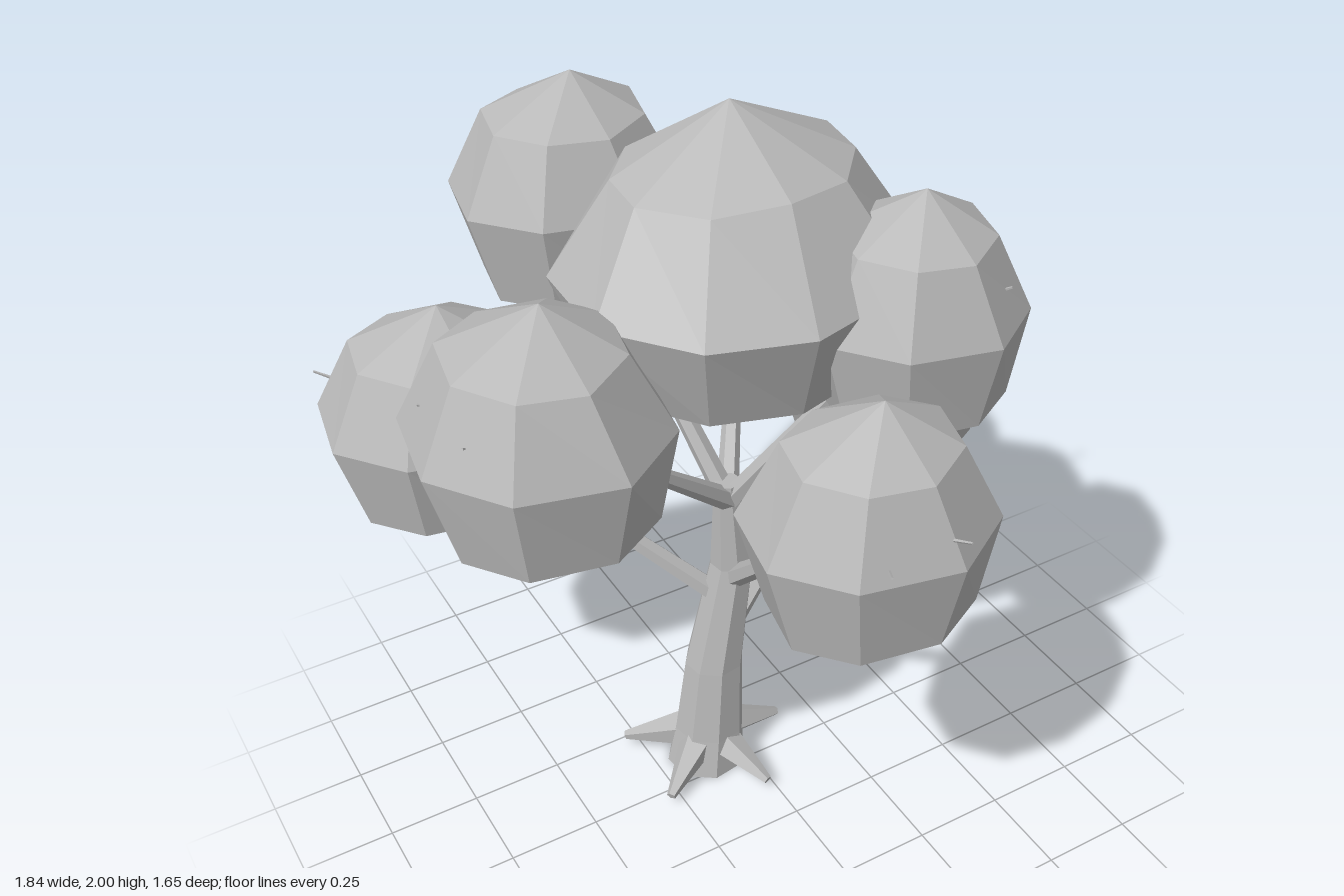
import * as THREE from 'three';

const grey = new THREE.MeshStandardMaterial({ color: 0xb8b8b8, flatShading: true });
grey.name = 'matte grey';

const V = (a) => new THREE.Vector3(...a);

// Repeatable noise in -1..1
function noise(i) {
  const s = Math.sin(i * 12.9898 + 78.233) * 43758.5453;
  return (s - Math.floor(s)) * 2 - 1;
}

// Tapered stick between two points
function stick(name, from, to, r0, r1, sides = 6) {
  const dir = to.clone().sub(from);
  const geo = new THREE.CylinderGeometry(r1, r0, dir.length(), sides);
  geo.translate(0, dir.length() / 2, 0);
  const mesh = new THREE.Mesh(geo, grey);
  mesh.name = name;
  mesh.position.copy(from);
  mesh.quaternion.setFromUnitVectors(new THREE.Vector3(0, 1, 0), dir.normalize());
  return mesh;
}

// Foliage rows from top to bottom: [radius, height, x offset, z offset]
const LEAF_ROWS = [[0, 1, 0.08, 0], [0.69, 0.68, 0, 0], [1.02, 0.09, 0, 0], [0.83, -0.62, 0, 0.05], [0, -1, 0.06, 0]];
const CROWN_ROWS = [[0, 1, 0, -0.1], [0.65, 0.62, 0, -0.03], [1.02, 0, 0, 0], [0.82, -0.66, 0, 0], [0, -1, 0, 0]];

// Faceted clump: a coarse sphere with its rows moved and corners slightly shifted
function clump(name, centre, radii, sides, turn, rows) {
  const geo = new THREE.SphereGeometry(1, sides, 4);
  const p = geo.attributes.position;
  for (let i = 0; i < p.count; i++) {
    const row = Math.floor(i / (sides + 1)), k = i % (sides + 1) % sides;
    const id = row * sides + k;
    const [radius, height, dx, dz] = rows[row];
    const a = ((k + turn) / sides) * Math.PI * 2 + 0.04 * noise(id);
    const r = radius * (1 + 0.025 * noise(id + 40));
    const y = height + (radius ? 0.03 * noise(id + 80) : 0);
    p.setXYZ(i, dx - r * Math.cos(a), y, dz + r * Math.sin(a));
  }
  geo.scale(...radii);
  geo.computeVertexNormals();
  const mesh = new THREE.Mesh(geo, grey);
  mesh.name = name;
  mesh.position.copy(centre);
  return mesh;
}

// Trunk skinned over a few eight-sided cross-sections: [x, y, z, radius]
function trunk() {
  const sections = [
    [-0.105, 0, -0.08, 0.112], [-0.092, 0.12, -0.08, 0.098], [-0.07, 0.35, -0.085, 0.082],
    [-0.01, 0.68, -0.085, 0.06], [-0.025, 0.95, -0.08, 0.036],
  ];
  const n = 8, pos = [], idx = [];
  for (const [x, y, z, r] of sections)
    for (let k = 0; k < n; k++) {
      const a = ((k + 0.3) / n) * Math.PI * 2;
      pos.push(x + r * Math.cos(a), y, z + r * Math.sin(a));
    }
  for (let s = 0; s < sections.length - 1; s++)
    for (let k = 0; k < n; k++) {
      const a = s * n + k, b = s * n + (k + 1) % n;
      idx.push(a, a + n, b, b, a + n, b + n);
    }
  const top = (sections.length - 1) * n;
  for (let k = 1; k < n - 1; k++) idx.push(0, k, k + 1, top, top + k + 1, top + k);
  const geo = new THREE.BufferGeometry();
  geo.setAttribute('position', new THREE.Float32BufferAttribute(pos, 3));
  geo.setIndex(idx);
  geo.computeVertexNormals();
  const mesh = new THREE.Mesh(geo, grey);
  mesh.name = 'trunk';
  return mesh;
}

export function createModel() {
  const tree = new THREE.Group();
  tree.name = 'tree';
  tree.add(trunk());

  // Five roots spread around the base
  for (let i = 0; i < 5; i++) {
    const a = (i / 5) * Math.PI * 2, c = Math.cos(a), s = Math.sin(a);
    tree.add(stick('root', V([-0.1 + 0.05 * c, 0.09, -0.085 + 0.05 * s]),
      V([-0.1 + 0.235 * c, 0.037, -0.085 + 0.235 * s]), 0.055, 0.013, 5));
  }

  // Pointed, broad crown
  tree.add(clump('crown', V([-0.01, 1.62, -0.04]), [0.45, 0.38, 0.385], 10, 0.45, CROWN_ROWS));

  // Outer clumps: centre, radii, branch start, branch length share, twig tips
  const clumps = [
    { c: [-0.6, 1.41, 0.1], r: [0.3, 0.33, 0.305], b: [-0.03, 0.9, -0.07], t: 0.55,
      twigs: [[-0.82, 1.53, 0.22], [-0.84, 1.53, 0.02]] },
    { c: [-0.62, 1.11, -0.505], r: [0.305, 0.32, 0.28], b: [-0.05, 0.57, -0.09], t: 0.7,
      twigs: [[-0.88, 1.24, -0.67], [-0.7, 1.22, -0.8]] },
    { c: [0.285, 1.52, 0.245], r: [0.27, 0.32, 0.262], b: [-0.02, 0.9, -0.07], t: 0.65,
      twigs: [[0.43, 1.64, 0.42]] },
    { c: [-0.015, 1.22, 0.54], r: [0.3, 0.33, 0.265], b: [-0.02, 0.65, -0.05], t: 0.72,
      twigs: [[0.05, 1.34, 0.82], [-0.13, 1.3, 0.79]] },
    { c: [0.565, 1.02, -0.24], r: [0.298, 0.33, 0.278], b: [-0.01, 0.45, -0.09], t: 0.72,
      twigs: [[0.92, 1.14, -0.28], [0.9, 1.1, -0.08]] },
    { c: [-0.21, 1.62, -0.53], r: [0.293, 0.32, 0.262], b: [-0.025, 0.9, -0.09], t: 0.65,
      twigs: [] },
    { c: [0.29, 1.31, -0.55], r: [0.285, 0.33, 0.272], b: [-0.015, 0.84, -0.1], t: 0.7,
      twigs: [[0.48, 1.4, -0.68], [0.42, 1.43, -0.75]] },
  ];
  for (const { c, r, b, t, twigs } of clumps) {
    const centre = V(c), start = V(b);
    tree.add(clump('foliage', centre, r, 8, 0.25, LEAF_ROWS));
    tree.add(stick('branch', start, start.clone().lerp(centre, t), 0.031, 0.018));
    for (const tip of twigs)
      tree.add(stick('twig', V(tip).lerp(centre, 0.4), V(tip), 0.006, 0.003, 4));
  }
  return tree;
}
